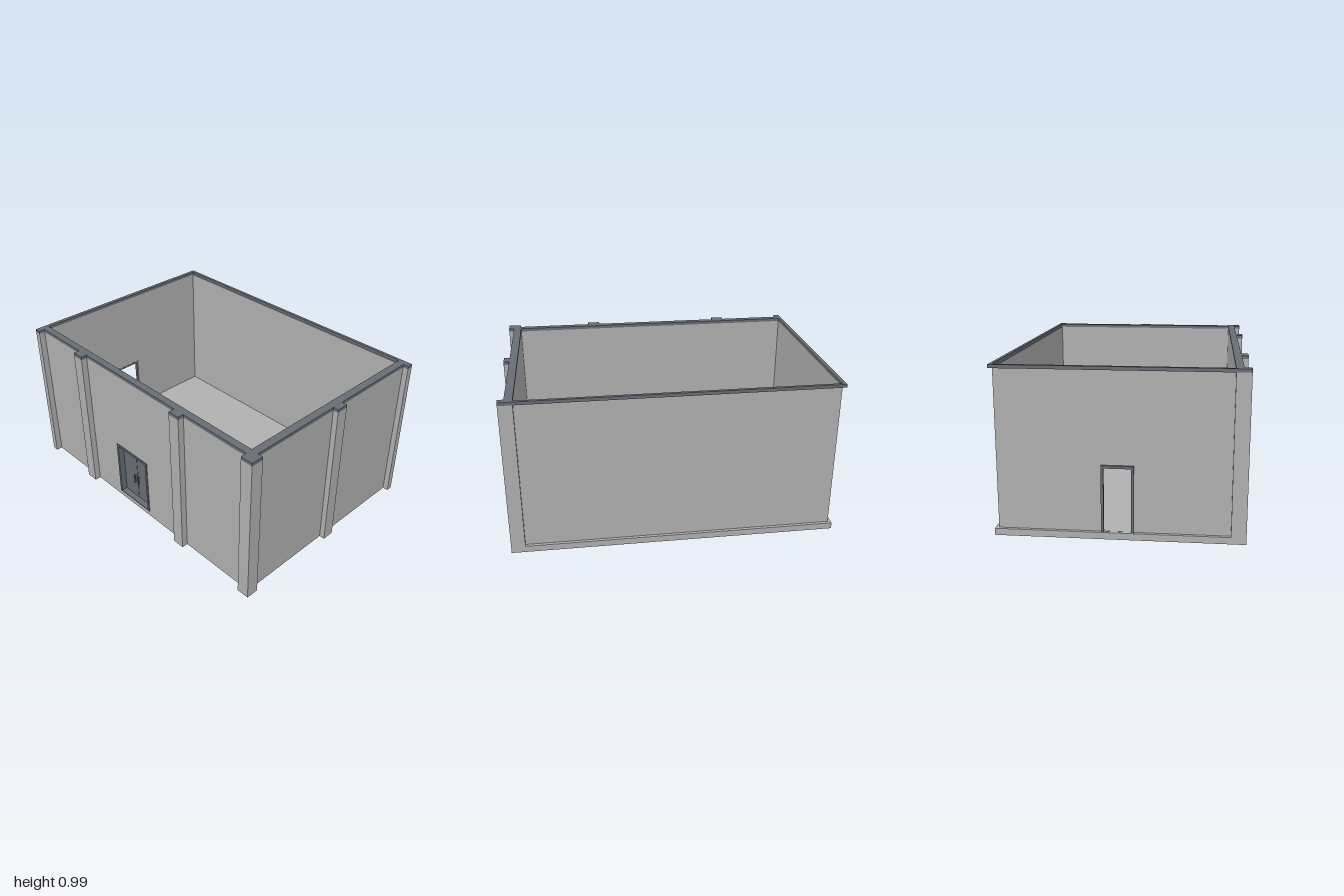
import * as THREE from 'three';

const wallMat = new THREE.MeshStandardMaterial({ color: 0xb0b0b0 });
wallMat.name = 'concrete grey';
const trimMat = new THREE.MeshStandardMaterial({ color: 0x676d74 });
trimMat.name = 'slate trim';

// Heights: floor top, underside of the coping, overall top
const FLOOR = 0.04, WALL = 0.965, TOP = 0.985;

export function createModel() {
  const group = new THREE.Group();

  const add = (name, geometry, material) => {
    const mesh = new THREE.Mesh(geometry, material);
    mesh.name = name;
    group.add(mesh);
    return mesh;
  };
  // Box given by its two extreme corners
  const box = (name, material, x0, x1, y0, y1, z0, z1) => {
    const g = new THREE.BoxGeometry(x1 - x0, y1 - y0, z1 - z0);
    g.translate((x0 + x1) / 2, (y0 + y1) / 2, (z0 + z1) / 2);
    return add(name, g, material);
  };
  const path = (pts, Type = THREE.Shape) => new Type(pts.map(([x, y]) => new THREE.Vector2(x, y)));
  const rect = (a, b, c, d) => [[a, c], [b, c], [b, d], [a, d]];
  const extrude = (outline, hole, depth) => {
    const shape = path(outline);
    shape.holes.push(path(hole, THREE.Path));
    return new THREE.ExtrudeGeometry(shape, { depth, bevelEnabled: false });
  };

  // Floor slab, standing out as a ledge behind the thin walls
  box('floorSlab', wallMat, -1, 0.915, 0, FLOOR, -0.71, 0.625);

  // Thick front wall with the double door opening
  const front = extrude(rect(-1, 0.965, 0, WALL), rect(-0.23, 0.07, FLOOR, 0.43), 0.045);
  front.translate(0, 0, 0.625);
  add('frontWall', front, wallMat);

  // Thick right-hand wall and thin back wall
  box('sideWall', wallMat, 0.915, 0.965, 0, WALL, -0.71, 0.625);
  box('backWall', wallMat, -0.98, 0.915, FLOOR, WALL, -0.69, -0.685);

  // Thin side wall with an open doorway (shape x runs along -z)
  const thin = extrude(rect(-0.625, 0.69, FLOOR, WALL), rect(-0.085, 0.1, FLOOR + 0.001, 0.43), 0.005);
  thin.rotateY(Math.PI / 2);
  thin.translate(-0.98, 0, 0);
  add('doorwayWall', thin, wallMat);

  // Pilasters along the front and the side
  const frontPilasters = [[-1, -0.96], [-0.56, -0.48], [0.355, 0.435], [0.92, 1]];
  const sidePilasters = [[-0.71, -0.67], [-0.063, 0.015]];
  for (const [a, b] of frontPilasters) box('frontPilaster', wallMat, a, b, 0, WALL, 0.67, 0.71);
  for (const [a, b] of sidePilasters) box('sidePilaster', wallMat, 0.965, 1, 0, WALL, a, b);
  box('cornerPilaster', wallMat, 0.965, 1, 0, WALL, 0.63, 0.67);

  // Coping that follows walls and pilasters; plan drawn with y as z
  const plan = [[-1, -0.71], [1, -0.71]];
  for (const [a, b] of sidePilasters) {
    if (a > -0.7) plan.push([0.965, a], [1, a]);
    plan.push([1, b], [0.965, b]);
  }
  plan.push([0.965, 0.63], [1, 0.63], [1, 0.71]);
  for (const [a, b] of [...frontPilasters].reverse()) {
    if (b < 0.9) plan.push([b, 0.67], [b, 0.71]);
    plan.push([a, 0.71]);
    if (a > -0.99) plan.push([a, 0.67]);
  }
  const coping = extrude(plan, rect(-0.975, 0.915, -0.69, 0.625), TOP - WALL);
  coping.rotateX(Math.PI / 2);
  coping.translate(0, TOP, 0);
  add('coping', coping, trimMat);

  // Double door: frame, leaves, pull handles and closers
  const frame = extrude(
    [[-0.23, FLOOR], [0.07, FLOOR], [0.07, 0.43], [-0.23, 0.43]],
    rect(-0.215, 0.055, FLOOR + 0.006, 0.415), 0.055);
  frame.translate(0, 0, 0.621);
  add('doorFrame', frame, trimMat);
  for (const side of [-1, 1]) {
    const cx = -0.08 + side * 0.068;
    box('doorLeaf', trimMat, cx - 0.0665, cx + 0.0665, FLOOR + 0.006, 0.414, 0.624, 0.636);
    const hx = -0.08 + side * 0.016;
    box('doorHandle', trimMat, hx - 0.004, hx + 0.004, 0.17, 0.235, 0.645, 0.652);
    for (const y of [0.18, 0.22]) box('handleMount', trimMat, hx - 0.003, hx + 0.003, y, y + 0.006, 0.635, 0.646);
    box('doorCloser', trimMat, cx - 0.025, cx + 0.025, 0.395, 0.41, 0.612, 0.625);
    box('closerArm', trimMat, cx - 0.055, cx + 0.055, 0.411, 0.416, 0.616, 0.622);
  }

  // Frame of the open side doorway
  const sideFrame = [
    [[-0.1, -0.085], [FLOOR, 0.43]],
    [[0.07, 0.085], [FLOOR, 0.43]],
    [[-0.085, 0.07], [0.415, 0.43]],
  ];
  for (const [[z0, z1], [y0, y1]] of sideFrame) box('doorwayFrame', trimMat, -0.995, -0.974, y0, y1, z0, z1);

  return group;
}
